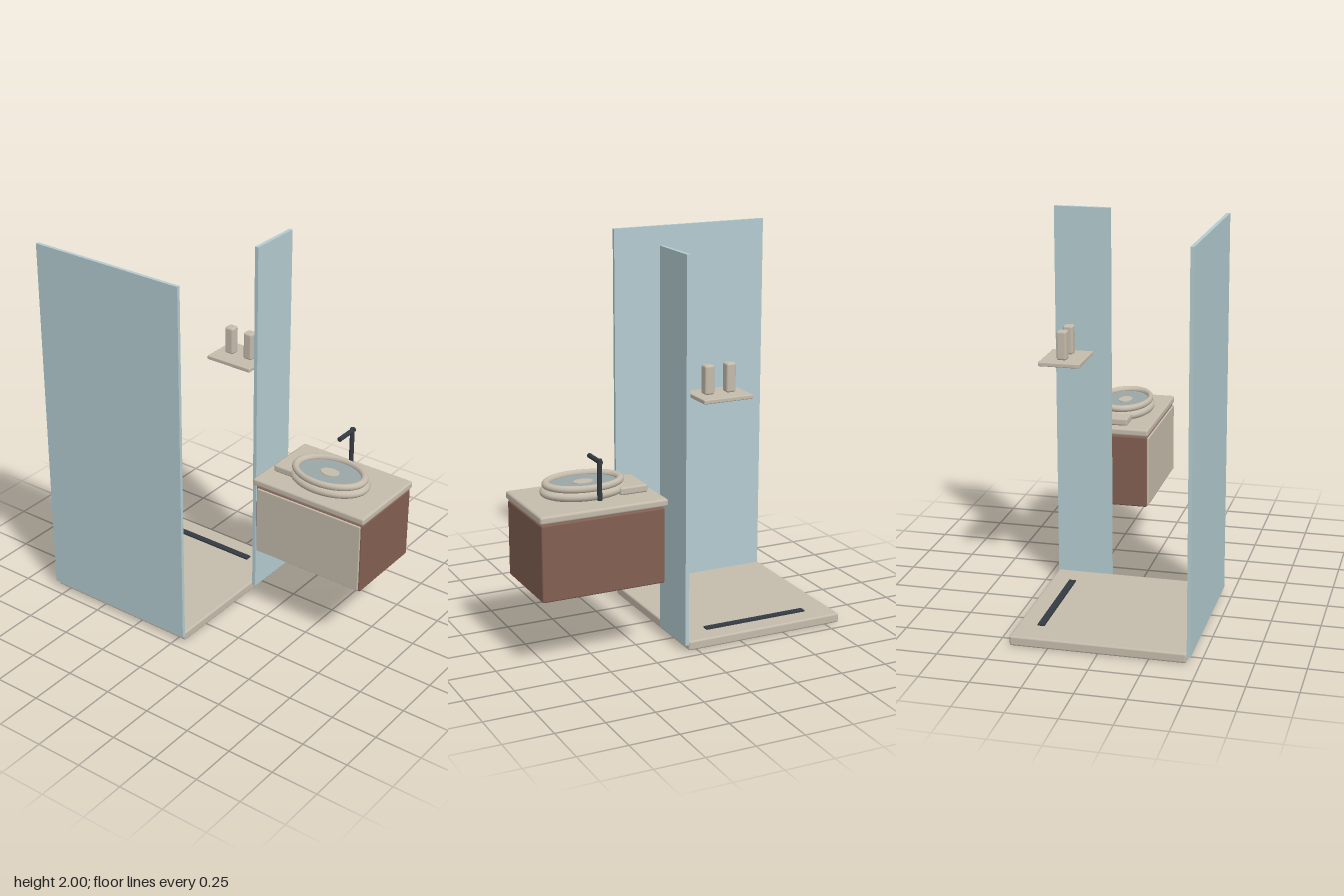
import * as THREE from 'three';
import { RoundedBoxGeometry } from 'three/addons/geometries/RoundedBoxGeometry.js';

const material = (name, color) => {
  const m = new THREE.MeshStandardMaterial({ color });
  m.name = name;
  return m;
};

export function createModel() {
  const stone = material('warm stone', 0xc4bbab);
  const glass = material('blue glass', 0xb3cbd0);
  const wood = material('brown wood', 0x825f52);
  const black = material('matt black', 0x343a42);
  const bowl = material('grey bowl', 0x9aa6a7);

  const model = new THREE.Group();
  model.name = 'bathroom';
  const group = (name) => {
    const g = new THREE.Group();
    g.name = name;
    model.add(g);
    return g;
  };
  const add = (parent, name, geometry, mat) => {
    const mesh = new THREE.Mesh(geometry, mat);
    mesh.name = name;
    parent.add(mesh);
    return mesh;
  };
  // Box given by its limits on each axis, with optional rounded edges
  const block = (parent, name, mat, [x0, x1], [y0, y1], [z0, z1], radius = 0) => {
    const size = [x1 - x0, y1 - y0, z1 - z0];
    const geometry = radius
      ? new RoundedBoxGeometry(...size, 2, radius)
      : new THREE.BoxGeometry(...size);
    const mesh = add(parent, name, geometry, mat);
    mesh.position.set((x0 + x1) / 2, (y0 + y1) / 2, (z0 + z1) / 2);
    return mesh;
  };

  // Shower: tray, drain channel and two glass screens
  const shower = group('shower');
  block(shower, 'showerTray', stone, [-0.435, 0.44], [0, 0.05], [-0.83, 0.045], 0.01);
  block(shower, 'drainChannel', black, [0.306, 0.341], [0.045, 0.058], [-0.68, -0.105]);
  block(shower, 'sideScreen', glass, [-0.455, -0.437], [0.032, 2], [-0.83, 0.045]);
  block(shower, 'frontScreen', glass, [0.15, 0.44], [0.032, 2], [0.046, 0.066]);

  // Shelf with two bottles
  const shelf = group('shelf');
  block(shelf, 'shelfBoard', stone, [0.22, 0.432], [1.262, 1.284], [-0.304, -0.035], 0.005);
  for (const z of [-0.226, -0.108]) {
    block(shelf, 'bottle', stone, [0.3, 0.352], [1.284, 1.432], [z - 0.026, z + 0.026], 0.011);
  }

  // Vanity: the drawer front faces -x
  const vanity = group('vanity');
  block(vanity, 'cabinet', wood, [-0.007, 0.44], [0.387, 0.774], [0.18, 0.822], 0.008);
  block(vanity, 'drawerFront', stone, [-0.016, -0.004], [0.396, 0.768], [0.19, 0.812], 0.004);
  block(vanity, 'countertop', stone, [-0.016, 0.449], [0.78, 0.82], [0.164, 0.83], 0.012);
  block(vanity, 'soapTray', stone, [0.105, 0.308], [0.82, 0.86], [0.208, 0.355], 0.01);

  // Oval basin: two stacked rounded rings around a shallow bowl
  const basin = group('basin');
  basin.position.set(0.184, 0, 0.5);
  const STRETCH = 1.45;
  const ring = (name, outer, inner, y0, y1) => {
    const points = [];
    for (let i = 0; i <= 16; i++) {
      const a = -Math.PI + (i / 16) * Math.PI * 2;
      points.push(new THREE.Vector2(
        (outer + inner) / 2 + Math.cos(a) * (outer - inner) / 2,
        (y0 + y1) / 2 + Math.sin(a) * (y1 - y0) / 2));
    }
    add(basin, name, new THREE.LatheGeometry(points, 48).scale(1, 1, STRETCH), stone);
  };
  ring('basinBase', 0.153, 0.1, 0.82, 0.868);
  ring('basinRim', 0.145, 0.117, 0.864, 0.9);
  const disc = (name, radius, height, y, mat) => {
    const geometry = new THREE.CylinderGeometry(radius, radius, height, 48).scale(1, 1, STRETCH);
    add(basin, name, geometry, mat).position.y = y;
  };
  disc('bowlFloor', 0.122, 0.02, 0.868, bowl);
  disc('basinDrain', 0.036, 0.006, 0.879, stone);

  // Tap: upright and spout
  const tap = group('tap');
  const rod = (name, length) =>
    add(tap, name, new THREE.CylinderGeometry(0.012, 0.012, length, 16), black);
  rod('tapUpright', 0.205).position.set(0.382, 0.9425, 0.498);
  const spout = rod('tapSpout', 0.136);
  spout.rotation.z = Math.PI / 2;
  spout.position.set(0.33, 1.032, 0.498);

  return model;
}
